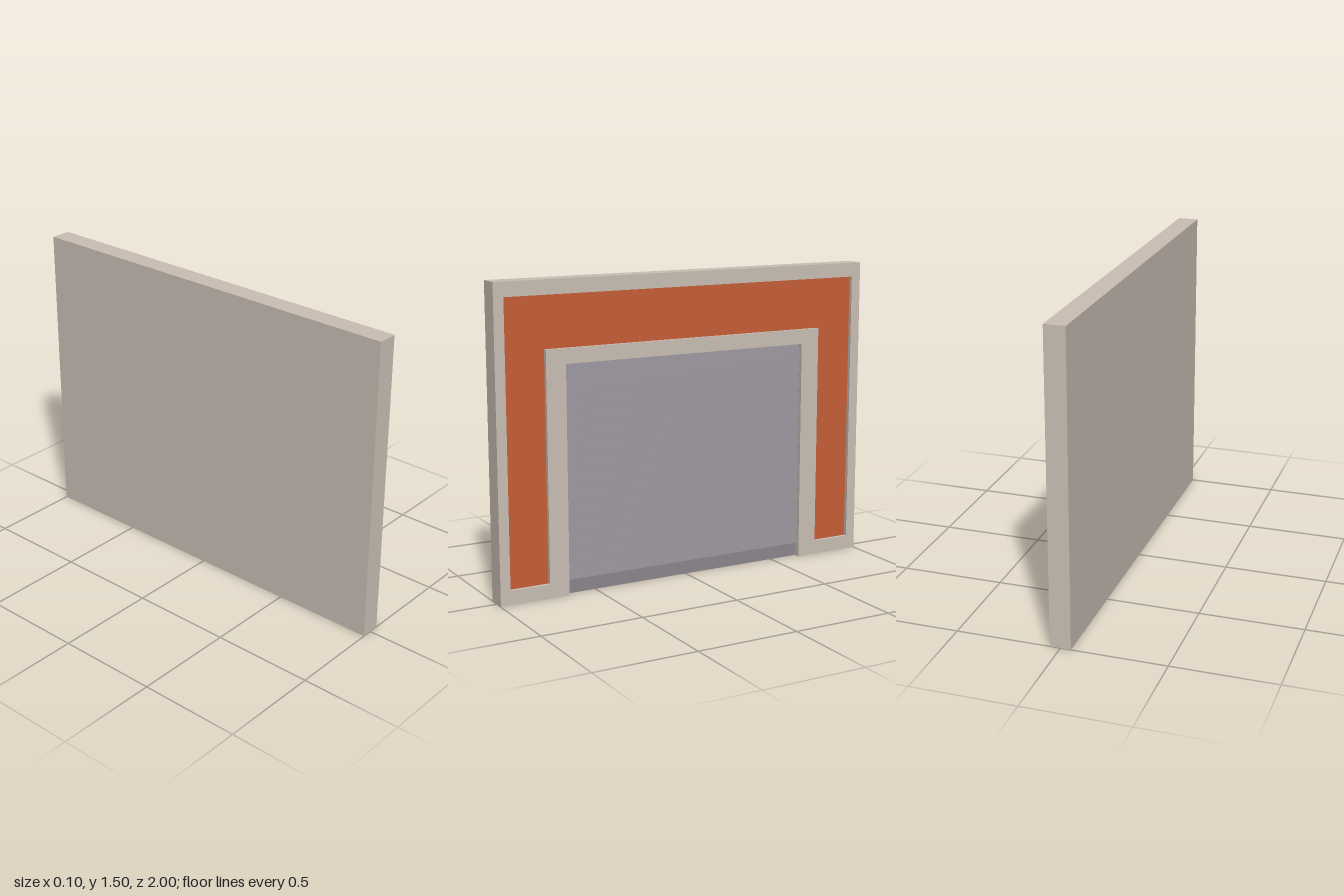
import * as THREE from 'three';

const material = (name, color, side = THREE.FrontSide) => {
  const m = new THREE.MeshStandardMaterial({ color, side });
  m.name = name;
  return m;
};

// Upside-down U outline: outer half width and y range, inner half width and top
function archPoints(outer, bottom, top, innerHalf, innerTop) {
  return [
    [-outer, bottom], [-innerHalf, bottom], [-innerHalf, innerTop], [innerHalf, innerTop],
    [innerHalf, bottom], [outer, bottom], [outer, top], [-outer, top],
  ].map(([x, y]) => new THREE.Vector2(x, y));
}

export function createModel() {
  const group = new THREE.Group();
  const plaster = material('plaster', 0xcabfb4, THREE.DoubleSide);
  const orange = material('orange', 0xc85f38);
  const steel = material('steel', 0x8c878e);

  const add = (name, geometry, mat) => {
    const mesh = new THREE.Mesh(geometry, mat);
    mesh.name = name;
    group.add(mesh);
  };
  // Extrude a shape drawn in the wall plane from x0 to x1
  const slab = (shape, x0, x1) =>
    new THREE.ExtrudeGeometry(shape, { depth: x1 - x0, bevelEnabled: false })
      .rotateY(Math.PI / 2).translate(x0, 0, 0);

  const DOOR_HALF = 0.65, DOOR_TOP = 1.107;
  const wallOutline = archPoints(1, 0, 1.5, DOOR_HALF, DOOR_TOP);
  const recess = archPoints(0.95, 0.07, 1.43, 0.75, 1.18);

  // Wall around the doorway, with a raised trim framing the orange recess
  add('wall', slab(new THREE.Shape(wallOutline), -0.05, 0.03), plaster);
  const trim = new THREE.Shape(wallOutline);
  trim.holes.push(new THREE.Path(recess));
  add('trim', slab(trim, 0.03, 0.05), plaster);
  add('orangePanel', new THREE.ShapeGeometry(new THREE.Shape(recess))
    .rotateY(Math.PI / 2).translate(0.031, 0, 0), orange);

  // Thin sheet closing the back of the doorway
  add('backSheet', new THREE.PlaneGeometry(DOOR_HALF * 2, DOOR_TOP)
    .rotateY(-Math.PI / 2).translate(-0.05, DOOR_TOP / 2, 0), plaster);

  // Roller door: saw-tooth profile above a flat bottom rail, drawn in x and y
  const SLATS = 14, RAIL = 0.075, ROOT = 0.018, TIP = 0.045, BACK = -0.005;
  const pitch = (DOOR_TOP - RAIL) / SLATS;
  const profile = new THREE.Shape();
  profile.moveTo(BACK, 0);
  profile.lineTo(ROOT, 0);
  for (let i = 0; i < SLATS; i++) {
    const y = RAIL + i * pitch;
    profile.lineTo(ROOT, y);
    profile.lineTo(TIP, y);
  }
  profile.lineTo(ROOT, DOOR_TOP);
  profile.lineTo(BACK, DOOR_TOP);
  add('rollerDoor', new THREE.ExtrudeGeometry(profile, { depth: DOOR_HALF * 2, bevelEnabled: false })
    .translate(0, 0, -DOOR_HALF), steel);

  return group;
}
